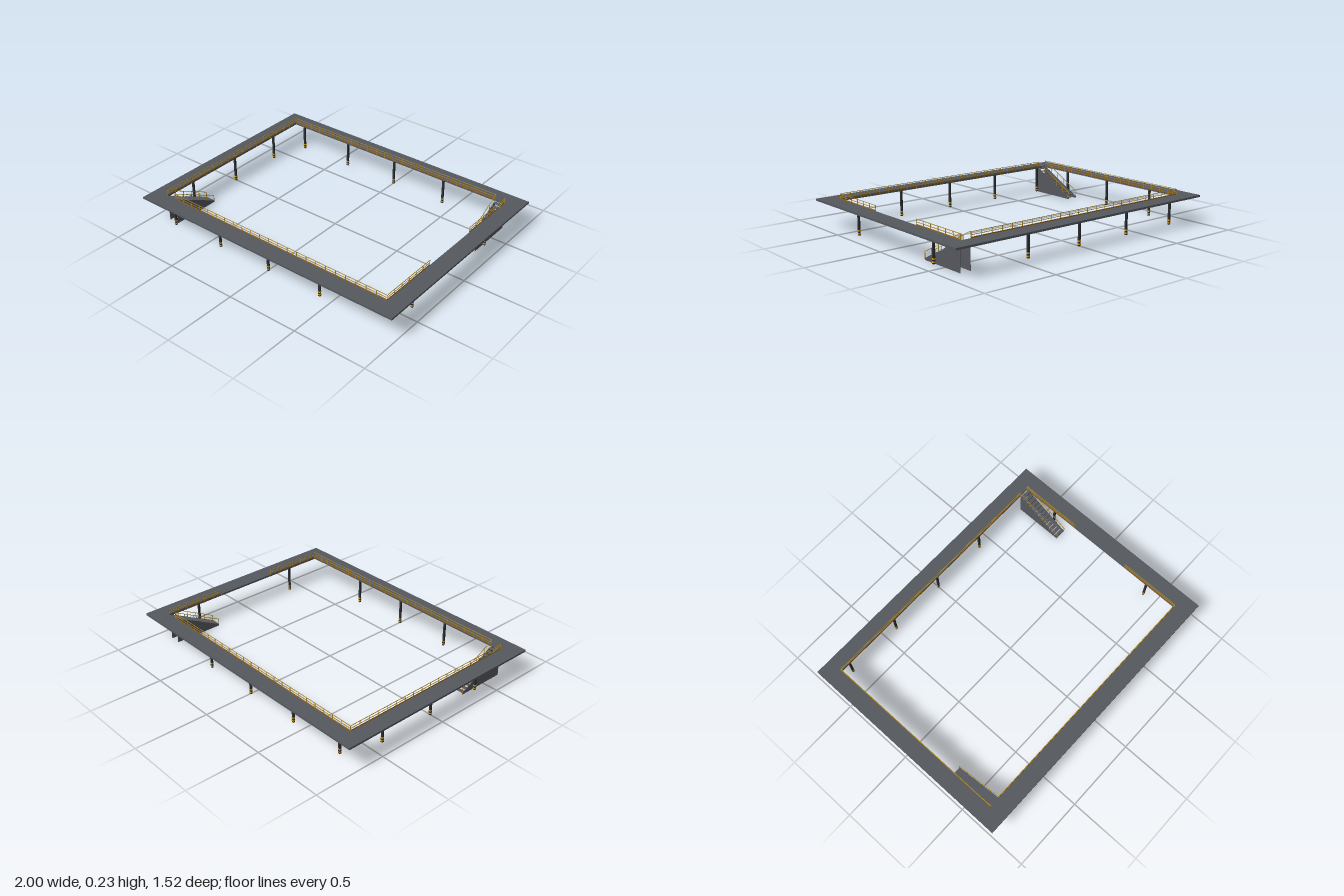
import * as THREE from 'three';

const material = (color) => new THREE.MeshStandardMaterial({ color });
const deckGrey = material(0x55585e);
const legGrey = material(0x2c2e33);
const yellow = material(0xd8a010);
const railYellow = material(0xa88428);
const toeBrown = material(0x9a6414);

const DECK_TOP = 0.19, DECK_LOW = 0.177, RAIL_TOP = 0.228;
const X0 = -0.89, X1 = 0.885, Z0 = -0.65, Z1 = 0.645; // inner opening
const ROD = 0.003;

function box(parent, name, mat, size, pos) {
  const mesh = new THREE.Mesh(new THREE.BoxGeometry(...size), mat);
  mesh.name = name;
  mesh.position.set(...pos);
  parent.add(mesh);
  return mesh;
}

// Square rod between two points
function rod(parent, name, mat, a, b, t = ROD) {
  const from = new THREE.Vector3(...a), to = new THREE.Vector3(...b);
  const mid = from.clone().add(to).multiplyScalar(0.5);
  const mesh = box(parent, name, mat, [t, t, from.distanceTo(to)], mid.toArray());
  mesh.lookAt(to);
}

// Ring-shaped walkway
function createDeck() {
  const shape = new THREE.Shape([[-1, -0.76], [1, -0.76], [1, 0.76], [-1, 0.76]].map(p => new THREE.Vector2(...p)));
  // shape y becomes -z
  shape.holes.push(new THREE.Path([[X0, -Z1], [X0, -Z0], [X1, -Z0], [X1, -Z1]].map(p => new THREE.Vector2(...p))));
  const geometry = new THREE.ExtrudeGeometry(shape, { depth: DECK_TOP - DECK_LOW, bevelEnabled: false });
  geometry.rotateX(-Math.PI / 2).translate(0, DECK_LOW, 0);
  const deck = new THREE.Mesh(geometry, deckGrey);
  deck.name = 'deck';
  return deck;
}

// Column with a hazard-striped foot
function createLeg(x, z) {
  const leg = new THREE.Group();
  leg.name = 'leg';
  leg.position.set(x, 0, z);
  box(leg, 'column', legGrey, [0.013, DECK_LOW, 0.013], [0, DECK_LOW / 2, 0]);
  for (const y of [0.012, 0.031]) box(leg, 'footStripe', yellow, [0.0145, 0.009, 0.0145], [0, y, 0]);
  return leg;
}

// Straight guard rail: posts, two rails and a toe board
function createRailing(ax, az, bx, bz) {
  const railing = new THREE.Group();
  railing.name = 'railing';
  const count = Math.round(Math.hypot(bx - ax, bz - az) / 0.073);
  for (let i = 0; i <= count; i++) {
    const x = ax + (bx - ax) * i / count, z = az + (bz - az) * i / count;
    rod(railing, 'post', railYellow, [x, DECK_LOW, z], [x, RAIL_TOP, z]);
  }
  for (const y of [RAIL_TOP - ROD / 2, 0.209])
    rod(railing, 'rail', railYellow, [ax, y, az], [bx, y, bz]);
  const length = Math.hypot(bx - ax, bz - az);
  const size = ax === bx ? [0.002, 0.008, length] : [length, 0.008, 0.002];
  box(railing, 'toeBoard', toeBrown, size, [(ax + bx) / 2, 0.193, (az + bz) / 2]);
  return railing;
}

// Open-riser stair with solid triangular sides and sloping handrails
function createStair() {
  const stair = new THREE.Group();
  stair.name = 'stair';
  const xa = -0.888, xb = -0.817, low = 0.305, high = Z1, steps = 13;
  const run = (high - low) / steps, rise = DECK_LOW / steps;

  const side = new THREE.Shape([[low, 0], [high, 0], [high, DECK_LOW], [high - 0.015, DECK_LOW], [low, 0.011]]
    .map(p => new THREE.Vector2(...p)));
  const sideGeometry = new THREE.ExtrudeGeometry(side, { depth: 0.002, bevelEnabled: false });
  sideGeometry.rotateY(-Math.PI / 2);
  for (const x of [xa, xb]) {
    const panel = new THREE.Mesh(sideGeometry, deckGrey);
    panel.name = 'stairSide';
    panel.position.x = x + 0.001;
    stair.add(panel);

    // Handrail and its posts
    const slope = (RAIL_TOP - 0.05) / (high - low);
    const railY = z => 0.05 + (z - low) * slope;
    rod(stair, 'handrail', railYellow, [x, railY(low), low], [x, railY(high), high]);
    for (let i = 0; i <= 5; i++) {
      const z = low + (high - low) * i / 5;
      rod(stair, 'handrailPost', railYellow, [x, Math.min(DECK_LOW, railY(z) - 0.045), z], [x, railY(z), z]);
    }
  }
  for (let i = 0; i < steps; i++)
    box(stair, 'tread', deckGrey, [xb - xa, 0.003, run * 0.95],
      [(xa + xb) / 2, (i + 1) * rise - 0.0015, low + (i + 0.5) * run]);
  return stair;
}

export function createModel() {
  const model = new THREE.Group();
  model.name = 'walkwayPlatform';
  model.add(createDeck());

  // Legs along front and back, then along the sides
  for (const z of [-0.66, 0.66])
    for (const x of [-0.815, -0.408, 0, 0.408]) model.add(createLeg(x, z));
  for (const z of [-0.405, 0, 0.405]) model.add(createLeg(-0.9, z));
  for (const z of [-0.405, 0.405]) model.add(createLeg(0.897, z));

  // Rails around the inner edge, with gaps at the stairs and the right-hand opening
  model.add(
    createRailing(X0, Z0, X0, Z1),
    createRailing(X0, Z0, 0.815, Z0),
    createRailing(-0.815, Z1, X1, Z1),
    createRailing(X1, Z0, X1, -0.22),
    createRailing(X1, 0.22, X1, Z1),
  );

  // Two stairs in opposite corners
  const stair = createStair();
  const opposite = createStair();
  opposite.rotation.y = Math.PI;
  model.add(stair, opposite);
  return model;
}
